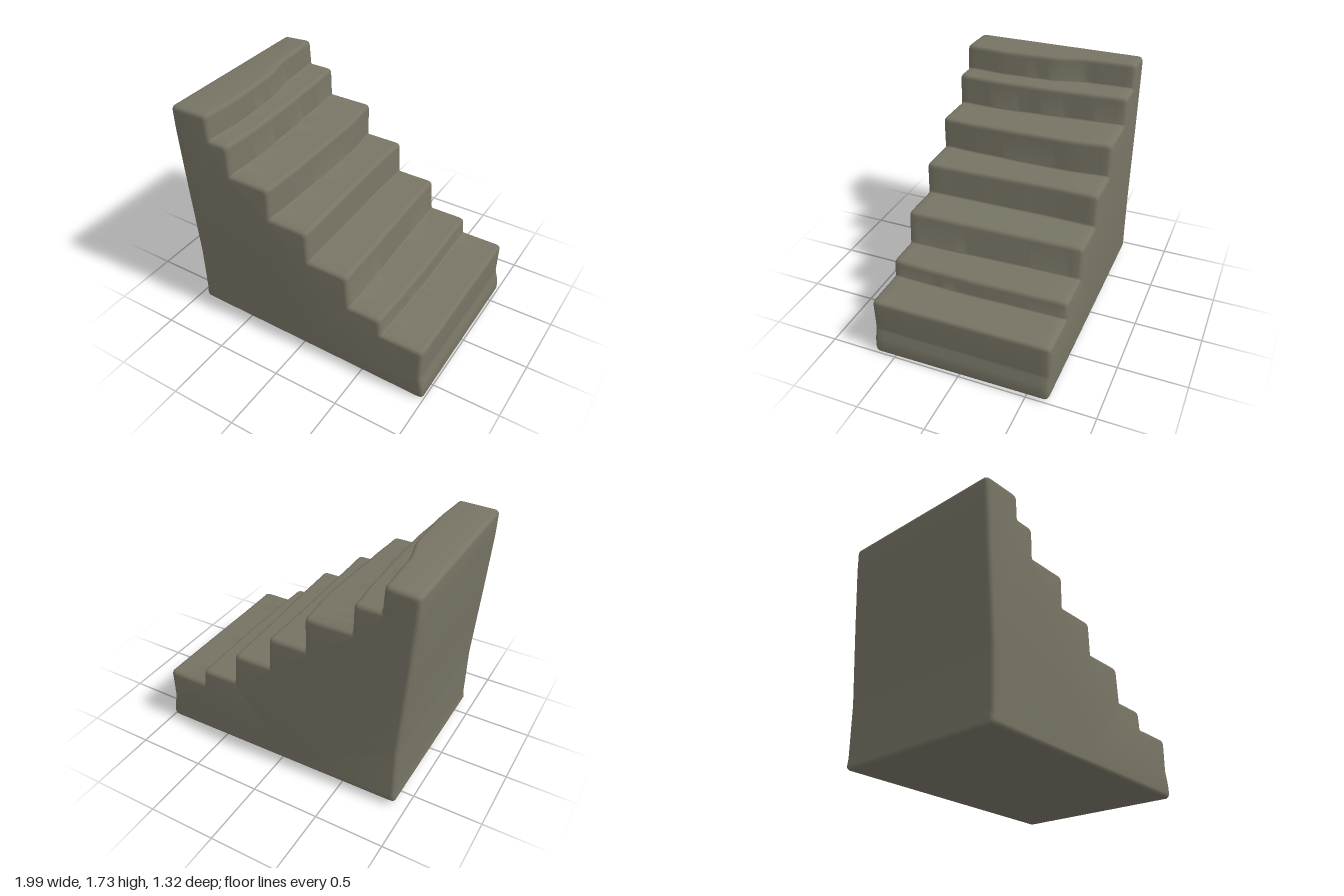
import * as THREE from 'three';
import { toCreasedNormals } from 'three/addons/utils/BufferGeometryUtils.js';

const HALF = 0.66; // half width of the stair along z

// Steps from the lowest up: riser x at five stations from back to front,
// tread height at back and front, and how far the riser foot leans out.
const STEPS = [
  { x: [0.97, 0.97, 0.97, 0.97, 0.97], y: [0.455, 0.445], lean: 0 },
  { x: [0.645, 0.65, 0.655, 0.65, 0.64], y: [0.585, 0.575], lean: 0.01 },
  { x: [0.35, 0.355, 0.365, 0.375, 0.38], y: [0.83, 0.83], lean: 0.02 },
  { x: [0.055, 0.05, 0.055, 0.06, 0.065], y: [1.08, 1.07], lean: 0.01 },
  { x: [-0.225, -0.2, -0.205, -0.215, -0.23], y: [1.335, 1.31], lean: 0 },
  { x: [-0.57, -0.55, -0.535, -0.53, -0.545], y: [1.55, 1.54], lean: 0.005 },
  { x: [-0.765, -0.75, -0.69, -0.68, -0.7], y: [1.737, 1.727], lean: 0.01 },
];

// Smoothly blended riser position, t from 0 (back) to 1 (front)
function blend(values, t) {
  const s = t * (values.length - 1);
  const i = Math.min(Math.floor(s), values.length - 2);
  return THREE.MathUtils.lerp(values[i], values[i + 1], THREE.MathUtils.smoothstep(s - i, 0, 1));
}

// Sharp-cornered outline of the stair, counter-clockwise seen from the front
function outline(t) {
  const p = [[-0.925, 0.035], [0, 0.025 - 0.005 * t], [0.995, 0.015 - 0.012 * t], [0.99, 0.11], [0.965, 0.2]];
  STEPS.forEach((step, i) => {
    const x = blend(step.x, t);
    if (i > 0) p.push([x + step.lean, blend(STEPS[i - 1].y, t)]);
    p.push([x, blend(step.y, t)]);
  });
  p.push([-1, 1.72], [-0.995, 1.54], [-0.965, 1.1], [-0.92, 0.5], [-0.915, 0.12]);
  return p.map(([x, y]) => new THREE.Vector2(x, y));
}

// Move every edge inward by d
function inset(points, d) {
  const n = points.length;
  return points.map((p, i) => {
    const a = p.clone().sub(points[(i + n - 1) % n]).normalize();
    const b = points[(i + 1) % n].clone().sub(p).normalize();
    const na = new THREE.Vector2(-a.y, a.x);
    const nb = new THREE.Vector2(-b.y, b.x);
    const k = d / (1 + na.dot(nb));
    return p.clone().addScaledVector(na.add(nb), k);
  });
}

// Soften corners: worn outer edges, tighter inner ones
function roundCorners(points) {
  const n = points.length;
  return points.flatMap((p, i) => {
    const toPrev = points[(i + n - 1) % n].clone().sub(p);
    const toNext = points[(i + 1) % n].clone().sub(p);
    const convex = toNext.cross(toPrev) > 0;
    const r = Math.min(convex ? 0.032 : 0.012, toPrev.length() * 0.4, toNext.length() * 0.4);
    const a = p.clone().addScaledVector(toPrev.normalize(), r);
    const b = p.clone().addScaledVector(toNext.normalize(), r);
    return new THREE.QuadraticBezierCurve(a, p, b).getPoints(4);
  });
}

function stairGeometry() {
  // Slices along z with the end edges rounded over
  const bevel = [[HALF, 0.026], [HALF - 0.004, 0.014], [HALF - 0.013, 0.005], [HALF - 0.028, 0]];
  const slices = bevel.map(([z, d]) => [-z, d]);
  const inner = HALF - 0.028;
  for (let i = 1; i < 28; i++) slices.push([-inner + (2 * inner * i) / 28, 0]);
  slices.push(...bevel.slice().reverse());

  const rings = slices.map(([z, d]) => roundCorners(inset(outline((z + HALF) / (2 * HALF)), d)));
  const n = rings[0].length;
  const positions = [];
  const index = [];
  rings.forEach((ring, j) => ring.forEach((p) => positions.push(p.x, p.y, slices[j][0])));

  // Treads, risers, back and underside
  for (let j = 0; j < rings.length - 1; j++) {
    for (let i = 0; i < n; i++) {
      const a = j * n + i;
      const b = j * n + ((i + 1) % n);
      index.push(a, b, b + n, a, b + n, a + n);
    }
  }
  // End walls
  const last = (rings.length - 1) * n;
  for (const [a, b, c] of THREE.ShapeUtils.triangulateShape(rings[0], [])) index.push(a, c, b);
  for (const [a, b, c] of THREE.ShapeUtils.triangulateShape(rings[rings.length - 1], [])) {
    index.push(last + a, last + b, last + c);
  }

  const geometry = new THREE.BufferGeometry();
  geometry.setAttribute('position', new THREE.Float32BufferAttribute(positions, 3));
  geometry.setIndex(index);
  return toCreasedNormals(geometry, 0.7);
}

export function createModel() {
  const stone = new THREE.MeshStandardMaterial({ color: 0x777464 });
  stone.name = 'stone';

  const group = new THREE.Group();
  group.name = 'stoneStairs';
  const stairs = new THREE.Mesh(stairGeometry(), stone);
  stairs.name = 'stairBlock';
  group.add(stairs);
  return group;
}
